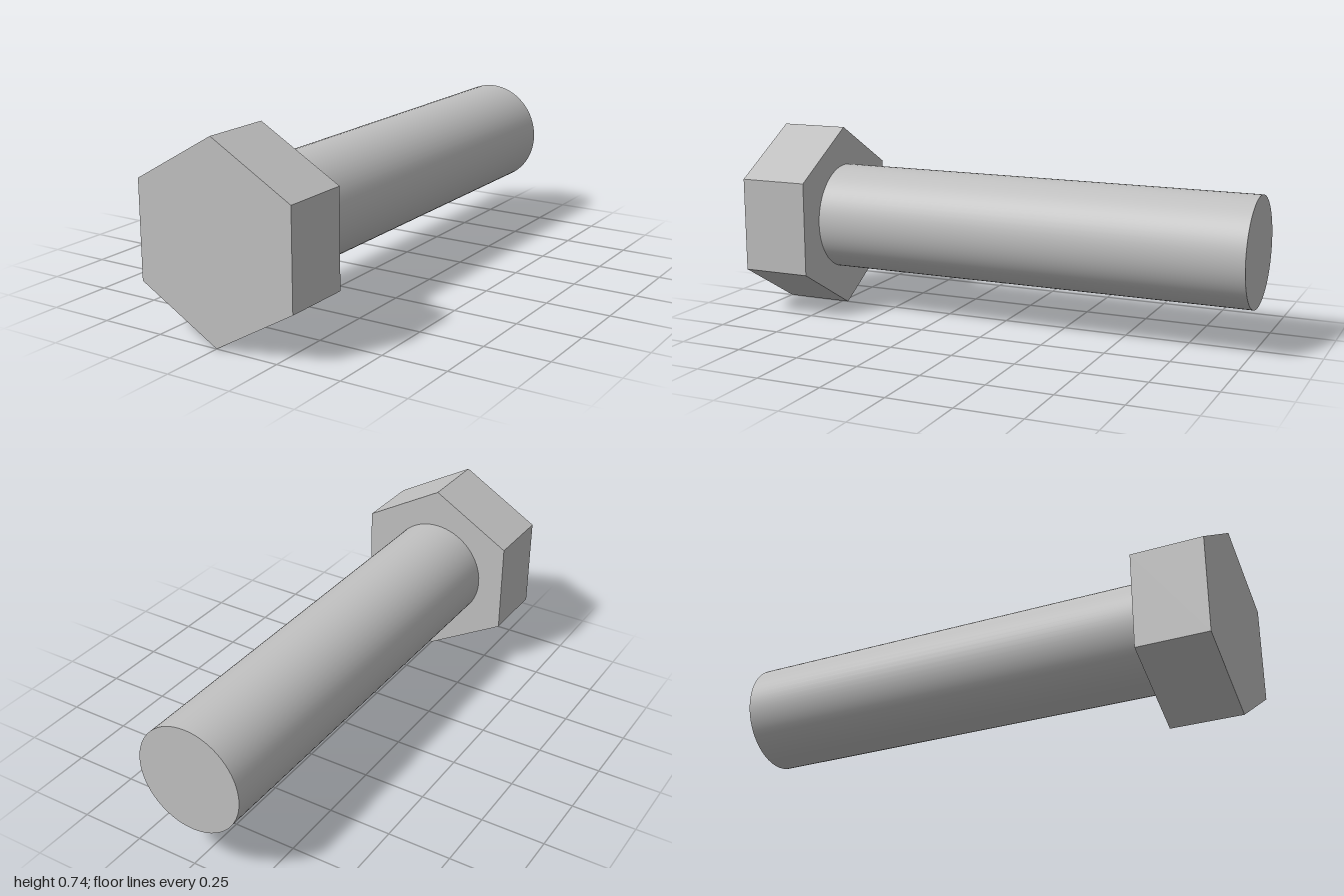
import * as THREE from 'three';

const HEAD_RADIUS = 0.368;
const SHANK_RADIUS = 0.211;
const HEAD_BACK = 0.725; // z where the head meets the shank

export function createModel() {
  const group = new THREE.Group();
  group.name = 'hexBolt';
  const steel = new THREE.MeshStandardMaterial({ color: 0xc0c0c0 });
  steel.name = 'steel grey';

  // Prism or cylinder lying along z between two depths
  function addAlongZ(name, radius, sides, z0, z1, faceted) {
    let geometry = new THREE.CylinderGeometry(radius, radius, z1 - z0, sides);
    geometry.rotateX(Math.PI / 2);
    if (faceted) {
      geometry = geometry.toNonIndexed();
      geometry.computeVertexNormals();
    }
    const mesh = new THREE.Mesh(geometry, steel);
    mesh.name = name;
    mesh.position.set(0, HEAD_RADIUS, (z0 + z1) / 2);
    group.add(mesh);
    return mesh;
  }

  // Six-sided head with corners at top and bottom
  addAlongZ('head', HEAD_RADIUS, 6, HEAD_BACK, 1, true);

  // Smooth round shank, running back from the head
  const shank = addAlongZ('shank', SHANK_RADIUS, 64, -1, HEAD_BACK, false);
  shank.position.x = -0.002;
  shank.position.y = 0.371;

  return group;
}
